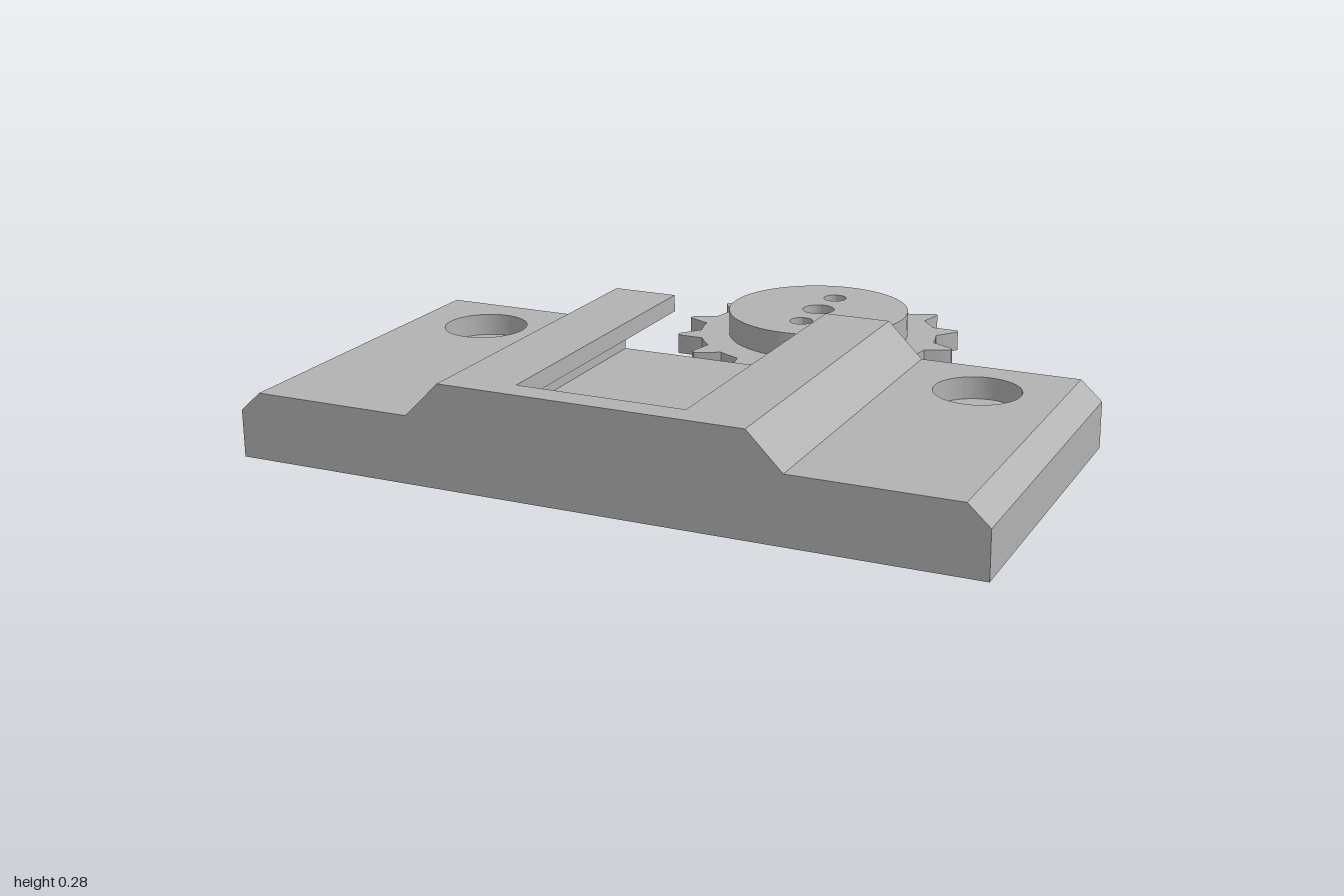
import * as THREE from 'three';
import { toCreasedNormals } from 'three/addons/utils/BufferGeometryUtils.js';

const BACK = -0.025, POCKET_END = 0.86, FRONT = 0.93;

const shapeOf = (pts) => new THREE.Shape(pts.map(([x, y]) => new THREE.Vector2(x, y)));

function addHole(shape, x, y, r) {
  const hole = new THREE.Path();
  hole.absarc(x, y, r, 0, Math.PI * 2, true);
  shape.holes.push(hole);
}

function extrude(shape, depth) {
  const geo = new THREE.ExtrudeGeometry(shape, { depth, bevelEnabled: false, curveSegments: 32 });
  return toCreasedNormals(geo, 0.5);
}

// cross-section in x/y, running along z
const alongZ = (shape, z0, z1) => extrude(shape, z1 - z0).translate(0, 0, z0);

// outline in x/-z, running up y
const alongY = (shape, y0, y1) => extrude(shape, y1 - y0).rotateX(-Math.PI / 2).translate(0, y0, 0);

export function createModel() {
  const model = new THREE.Group();
  const grey = new THREE.MeshStandardMaterial({ color: 0xb2b2b2 });
  grey.name = 'grey';

  const add = (parent, name, geo) => {
    const mesh = new THREE.Mesh(geo, grey);
    mesh.name = name;
    parent.add(mesh);
  };

  // Mounting plate
  const plate = new THREE.Group();
  plate.name = 'mountingPlate';
  model.add(plate);

  // Raised centre with a T-slot open at the back
  const channel = shapeOf([
    [-0.505, 0], [0.505, 0], [0.505, 0.18], [0.41, 0.275], [0.228, 0.275],
    [0.228, 0.228], [0.385, 0.228], [0.385, 0.1], [-0.385, 0.1], [-0.385, 0.228],
    [-0.228, 0.228], [-0.228, 0.275], [-0.41, 0.275], [-0.505, 0.18],
  ]);
  add(plate, 'slottedCentre', alongZ(channel, BACK, POCKET_END));

  const wall = shapeOf([
    [-0.505, 0], [0.505, 0], [0.505, 0.18], [0.41, 0.275], [-0.41, 0.275], [-0.505, 0.18],
  ]);
  add(plate, 'slotEndWall', alongZ(wall, POCKET_END, FRONT));

  // Side wings with counterbored screw holes and chamfered outer edges
  for (const [side, name] of [[1, 'left'], [-1, 'right']]) {
    const wing = (holeRadius) => {
      const [a, b] = side > 0 ? [0.505, 0.942] : [-0.942, -0.505];
      const s = shapeOf([[a, -FRONT], [b, -FRONT], [b, -BACK], [a, -BACK]]);
      addHole(s, side * 0.724, -0.173, holeRadius);
      return s;
    };
    add(plate, name + 'WingBase', alongY(wing(0.062), 0, 0.12));
    add(plate, name + 'WingCounterbore', alongY(wing(0.115), 0.12, 0.18));
    const edge = shapeOf([
      [side * 0.942, 0], [side, 0], [side, 0.127], [side * 0.942, 0.18],
    ]);
    add(plate, name + 'ChamferedEdge', alongZ(edge, BACK, FRONT));
  }

  // Toothed wheel
  const wheel = new THREE.Group();
  wheel.name = 'toothedWheel';
  wheel.position.set(0.007, 0, -0.525);
  model.add(wheel);

  const teeth = 14, step = (Math.PI * 2) / teeth, root = 0.352, tip = 0.42;
  const outline = [];
  const polar = (r, a) => outline.push([r * Math.cos(a), r * Math.sin(a)]);
  for (let i = 0; i < teeth; i++) {
    const a = i * step;
    polar(root, a - 0.12);
    polar(tip - 0.006, a - 0.026);
    polar(tip, a - 0.012);
    polar(tip, a + 0.012);
    polar(tip - 0.006, a + 0.026);
    polar(root, a + 0.12);
    polar(root, a + step / 2);
  }
  const disc = shapeOf(outline);
  addHole(disc, 0, 0, 0.047);
  add(wheel, 'toothedDisc', alongY(disc, 0, 0.057));

  // Hub with a centre bore and two blind pin holes
  const hub = new THREE.Shape();
  hub.absarc(0, 0, 0.267, 0, Math.PI * 2, false);
  addHole(hub, 0, 0, 0.047);
  addHole(hub, 0, 0.135, 0.034);
  addHole(hub, 0, -0.135, 0.034);
  add(wheel, 'hub', alongY(hub, 0.057, 0.13));

  return model;
}
